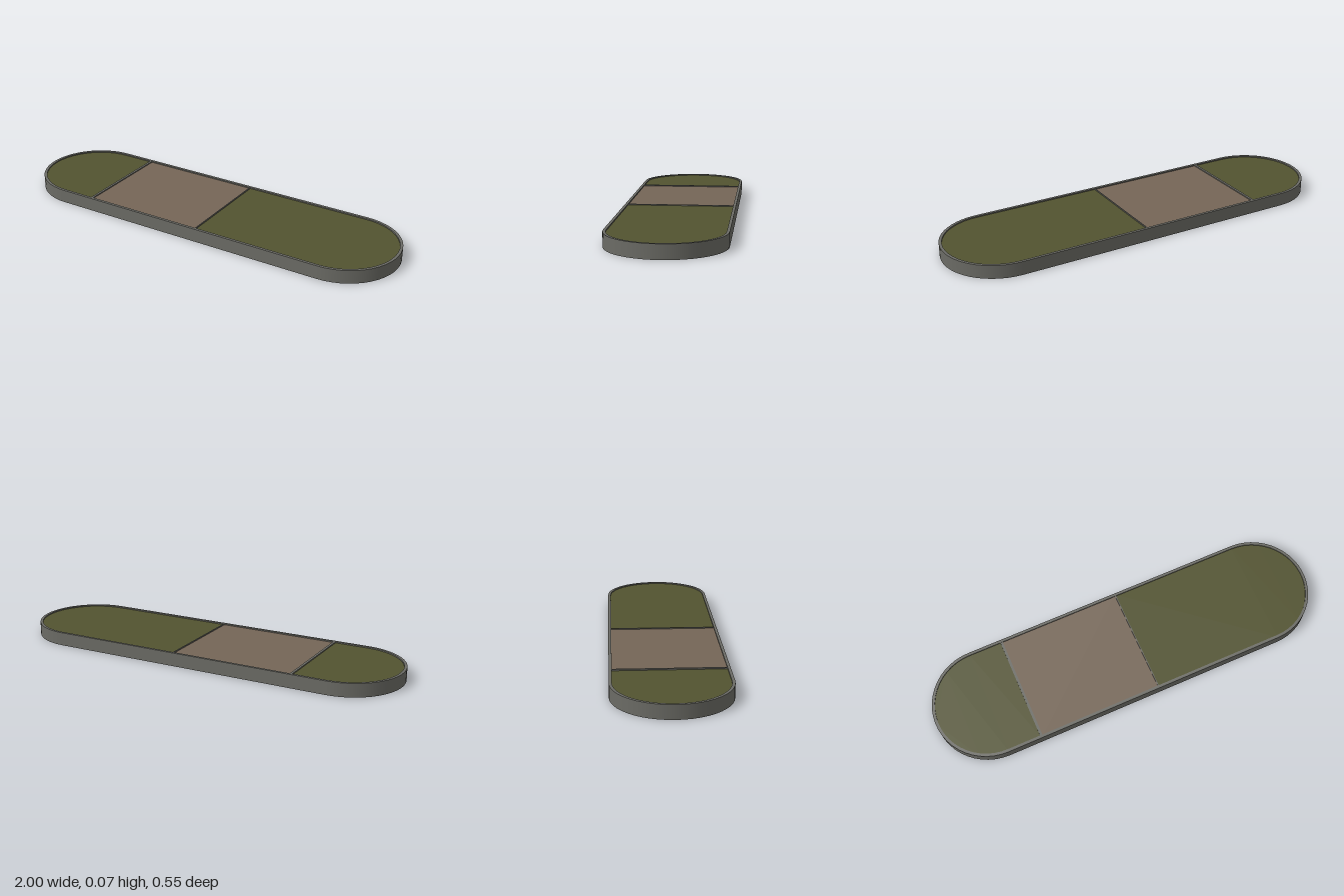
import * as THREE from 'three';

const R = 0.275, CX = 0.725, TOP = 0.067, FLOOR = 0.061, RIM = 0.014;
const SAND_LEFT = -0.555, SAND_RIGHT = 0.07;

const concrete = new THREE.MeshStandardMaterial({ name: 'concrete grey', color: 0x6b6b65, side: THREE.DoubleSide });
const grass = new THREE.MeshStandardMaterial({ name: 'grass green', color: 0x525330, side: THREE.DoubleSide });
const earth = new THREE.MeshStandardMaterial({ name: 'earth brown', color: 0x756657, side: THREE.DoubleSide });

// Stadium outline, counter-clockwise in plan
function outline(r, n = 24) {
  const pts = [];
  for (const s of [1, -1]) {
    for (let i = 0; i <= n; i++) {
      const a = -Math.PI / 2 + (Math.PI * i) / n;
      pts.push(new THREE.Vector2(s * (CX + r * Math.cos(a)), s * r * Math.sin(a)));
    }
  }
  return pts;
}

// Upright open band following the outline, with smooth normals
function band(r, y0, y1) {
  const pts = outline(r);
  pts.push(pts[0].clone());
  const pos = [], nor = [], idx = [];
  pts.forEach((p, i) => {
    const nx = (p.x - Math.sign(p.x) * CX) / r, nz = -p.y / r;
    pos.push(p.x, y0, -p.y, p.x, y1, -p.y);
    nor.push(nx, 0, nz, nx, 0, nz);
    if (i < pts.length - 1) {
      const a = 2 * i;
      idx.push(a, a + 2, a + 1, a + 1, a + 2, a + 3);
    }
  });
  const g = new THREE.BufferGeometry();
  g.setAttribute('position', new THREE.Float32BufferAttribute(pos, 3));
  g.setAttribute('normal', new THREE.Float32BufferAttribute(nor, 3));
  g.setIndex(idx);
  return g;
}

// Flat sheet lying at height y
const sheet = (shape, y) => new THREE.ShapeGeometry(shape).rotateX(-Math.PI / 2).translate(0, y, 0);

export function createModel() {
  const model = new THREE.Group();
  model.name = 'planterIsland';
  const add = (name, geometry, material) => {
    const mesh = new THREE.Mesh(geometry, material);
    mesh.name = name;
    model.add(mesh);
  };

  // Kerb: outer wall, flat rim and the small inner step
  add('outerKerbWall', band(R, 0, TOP), concrete);
  const rim = new THREE.Shape(outline(R));
  rim.holes.push(new THREE.Path(outline(R - RIM)));
  add('kerbRim', sheet(rim, TOP), concrete);
  add('innerKerbStep', band(R - RIM, FLOOR, TOP), concrete);

  // Rounded lawns at both ends
  const pts = outline(R - 0.002);
  const half = R - 0.002;
  const rightEnd = pts.filter((p) => p.x > 0);
  const leftEnd = pts.filter((p) => p.x < 0);
  rightEnd.push(new THREE.Vector2(SAND_RIGHT, half), new THREE.Vector2(SAND_RIGHT, -half));
  leftEnd.push(new THREE.Vector2(SAND_LEFT, -half), new THREE.Vector2(SAND_LEFT, half));
  add('longLawn', sheet(new THREE.Shape(rightEnd), FLOOR), grass);
  add('shortLawn', sheet(new THREE.Shape(leftEnd), FLOOR), grass);

  // Bare middle bed
  const bed = new THREE.PlaneGeometry(SAND_RIGHT - SAND_LEFT, 2 * half)
    .rotateX(-Math.PI / 2)
    .translate((SAND_LEFT + SAND_RIGHT) / 2, FLOOR, 0);
  add('middleBed', bed, earth);

  // Thin edging strips between bed and lawns
  for (const [x, w] of [[SAND_LEFT + 0.003, 0.012], [SAND_RIGHT, 0.005]]) {
    add('bedEdging', new THREE.BoxGeometry(w, 0.006, 2 * (R - RIM)).translate(x, FLOOR + 0.0025, 0), concrete);
  }
  return model;
}
